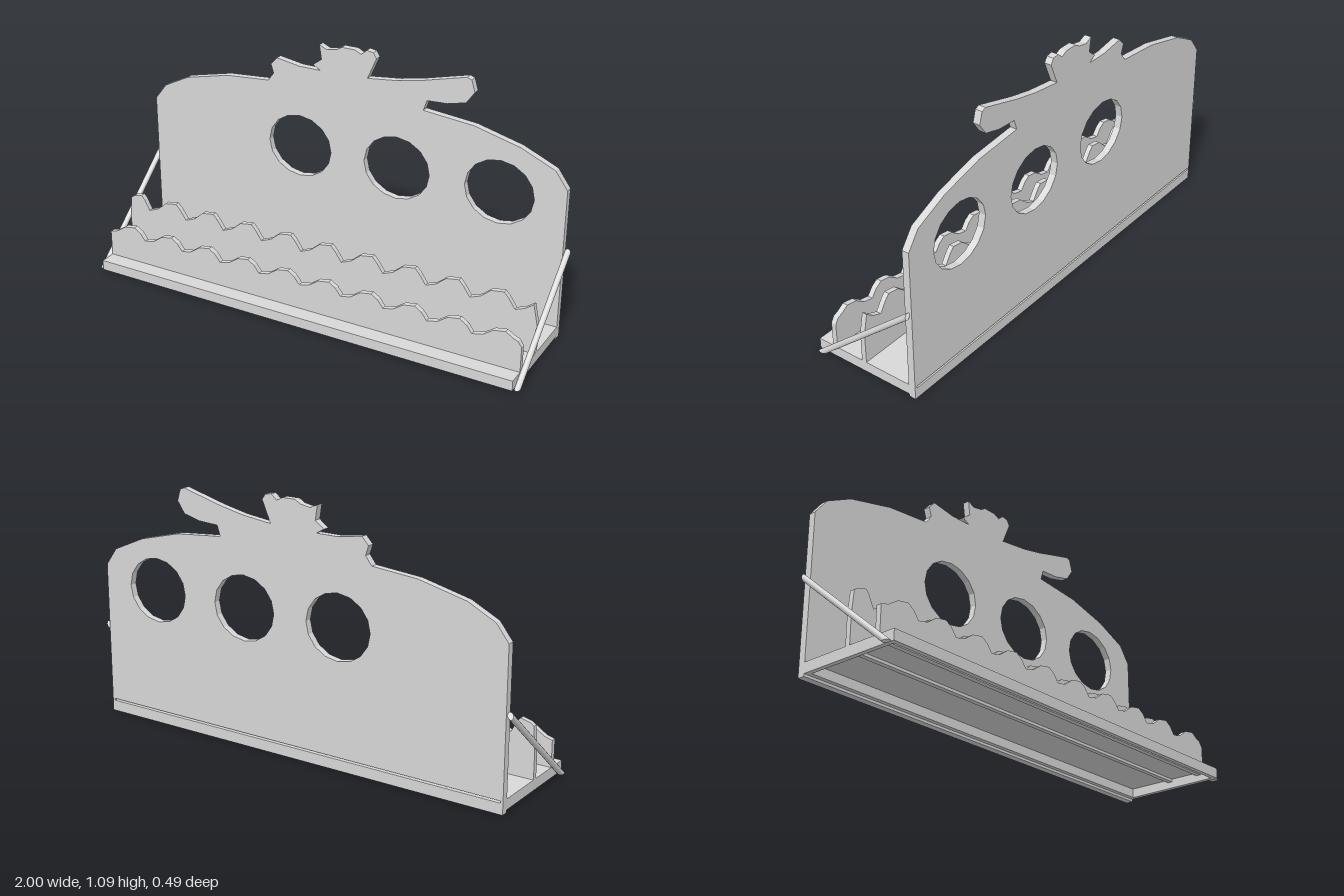
import * as THREE from 'three';

const grey = new THREE.MeshStandardMaterial({ color: 0xd8d8d8 });
grey.name = 'plain grey';

const HALF = 0.975;
const FRONT = 0.244;
const BACK = -0.213;

function add(group, name, geometry) {
  const mesh = new THREE.Mesh(geometry, grey);
  mesh.name = name;
  group.add(mesh);
  return mesh;
}

function box(group, name, x0, x1, y0, y1, z0, z1) {
  const mesh = add(group, name, new THREE.BoxGeometry(x1 - x0, y1 - y0, z1 - z0));
  mesh.position.set((x0 + x1) / 2, (y0 + y1) / 2, (z0 + z1) / 2);
}

const toVectors = (points) => points.map(([x, y]) => new THREE.Vector2(x, y));

// Flat board cut from an outline, standing between z0 and z1
function board(group, name, points, z0, z1, holes = []) {
  const shape = new THREE.Shape(toVectors(points));
  shape.holes = holes.map((hole) => new THREE.Path(toVectors(hole)));
  const geometry = new THREE.ExtrudeGeometry(shape, { depth: z1 - z0, bevelEnabled: false });
  add(group, name, geometry.translate(0, 0, z0));
}

// Board whose top edge repeats a wave with a slow rise and a steep fall
function waveBoard(group, name, start, count, wave, leftEnd, rightEnd, z0, z1) {
  const period = 0.1945;
  const top = [...leftEnd];
  for (let i = 0; i < count; i++) {
    for (const [dx, y] of wave) top.push([start + i * period + dx, y]);
  }
  top.push(...rightEnd);
  const bottom = 0.038;
  board(group, name, [[-HALF, bottom], [HALF, bottom], ...top.reverse()], z0, z1);
}

// Round brace, cut level at the foot and upright at the top
function brace(group, name, x) {
  const foot = new THREE.Vector3(x, 0.011, 0.219);
  const head = new THREE.Vector3(x, 0.394, -0.235);
  const dir = head.clone().sub(foot).normalize();
  const geometry = new THREE.CylinderGeometry(0.0125, 0.0125, foot.distanceTo(head), 12);
  const turn = new THREE.Quaternion().setFromUnitVectors(new THREE.Vector3(0, 1, 0), dir);
  const middle = foot.clone().add(head).multiplyScalar(0.5);
  geometry.applyQuaternion(turn).translate(middle.x, middle.y, middle.z);
  const pos = geometry.attributes.position;
  const v = new THREE.Vector3();
  for (let i = 0; i < pos.count; i++) {
    v.fromBufferAttribute(pos, i);
    const slide = v.y > 0.2 ? (head.z - v.z) / dir.z : (foot.y - v.y) / dir.y;
    v.addScaledVector(dir, slide);
    pos.setXYZ(i, v.x, v.y, v.z);
  }
  add(group, name, geometry);
}

export function createModel() {
  const model = new THREE.Group();
  model.name = 'displayStand';

  // Back panel with its cut-out crest, three round windows and a slot for the floor
  const outline = [
    [-HALF, 0], [HALF, 0], [HALF, 0.67], [0.92, 0.745], [0.77, 0.81], [0.57, 0.86],
    [0.345, 0.88], [0.36, 0.925], [0.45, 0.93], [0.53, 0.95], [0.565, 1.0], [0.55, 1.05],
    [0.53, 1.058], [0.34, 1.008], [0.23, 0.985], [0.09, 0.968], [0.13, 1.06], [0.115, 1.083],
    [0.085, 1.088], [0.06, 1.066], [0.03, 1.08], [-0.03, 1.08], [-0.055, 1.065],
    [-0.1, 1.057], [-0.135, 1.072], [-0.125, 1.01], [-0.165, 0.98], [-0.13, 0.96],
    [-0.23, 0.96], [-0.34, 0.977], [-0.37, 0.945], [-0.357, 0.905], [-0.385, 0.868],
    [-0.59, 0.85], [-0.8, 0.8], [-0.92, 0.74], [-HALF, 0.67],
  ];
  const holes = [-0.23, 0.23, 0.69].map((cx) => {
    const points = [];
    for (let i = 0; i < 16; i++) {
      const a = -i / 16 * Math.PI * 2;
      points.push([cx + 0.151 * Math.cos(a), 0.598 + 0.139 * Math.sin(a)]);
    }
    return points;
  });
  holes.push([[-0.965, 0.047], [-0.965, 0.056], [0.965, 0.056], [0.965, 0.047]]);
  board(model, 'backPanel', outline, -0.244, BACK, holes);

  // Shallow tray: thin floor over an open frame
  const base = new THREE.Group();
  base.name = 'base';
  model.add(base);
  box(base, 'floor', -HALF, HALF, 0.05, 0.056, BACK, FRONT);
  box(base, 'frontRail', -HALF, HALF, 0.011, 0.05, FRONT - 0.02, FRONT);
  box(base, 'backRail', -HALF, HALF, 0.011, 0.05, BACK, BACK + 0.02);
  for (const s of [-1, 1]) {
    const x = s * (HALF - 0.01);
    box(base, s > 0 ? 'leftRail' : 'rightRail',
      x - 0.01, x + 0.01, 0.011, 0.05, BACK + 0.02, FRONT - 0.02);
  }

  // Two rows of waves
  waveBoard(model, 'rearWaves', -0.87, 9,
    [[0, 0.232], [0.045, 0.25], [0.09, 0.288], [0.145, 0.297], [0.165, 0.275]],
    [[-HALF, 0.18], [-0.967, 0.275], [-0.95, 0.287], [-0.91, 0.297], [-0.895, 0.28]],
    [[0.88, 0.232], [0.92, 0.248], [0.957, 0.275], [HALF, 0.19]], 0.0, 0.022);
  waveBoard(model, 'frontWaves', -0.79, 9,
    [[0, 0.168], [0.045, 0.178], [0.09, 0.21], [0.14, 0.219], [0.17, 0.2]],
    [[-HALF, 0.17], [-0.94, 0.18], [-0.895, 0.21], [-0.845, 0.219], [-0.815, 0.2]],
    [[0.96, 0.19], [HALF, 0.167]], 0.15, 0.173);

  // Side braces
  brace(model, 'leftBrace', 0.9875);
  brace(model, 'rightBrace', -0.9875);
  return model;
}
